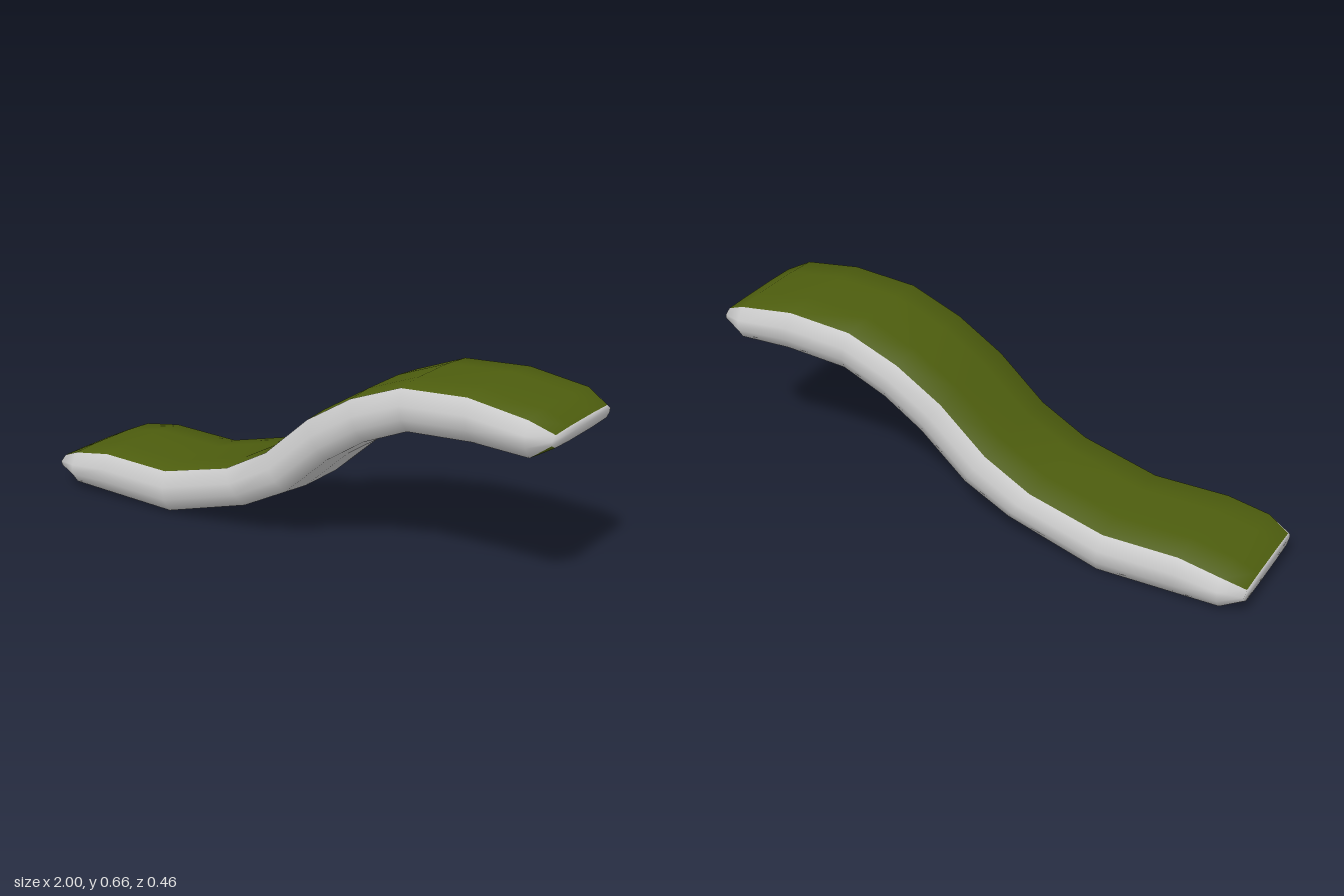
import * as THREE from 'three';

// Stations along the length: [x, y] of the crown line above and the belly line below
const TOP = [[-1, 0.11], [-0.92, 0.148], [-0.77, 0.174], [-0.5, 0.166], [-0.23, 0.233], [-0.06, 0.325],
  [0.11, 0.475], [0.28, 0.578], [0.47, 0.65], [0.71, 0.663], [0.92, 0.63], [1, 0.587]];
const BOTTOM = [[-1, 0.06], [-0.92, 0.02], [-0.76, 0.012], [-0.48, 0.002], [-0.14, 0.1], [0.03, 0.185],
  [0.2, 0.335], [0.34, 0.425], [0.5, 0.492], [0.73, 0.504], [0.93, 0.495], [1, 0.54]];

// Cross-section: [z, depth from top (0) to bottom (1)], clockwise seen from +x
const SECTION = [[0.202, 0.05], [0.09, 0], [-0.09, 0], [-0.202, 0.05], [-0.228, 0.37], [-0.228, 0.65],
  [-0.202, 0.93], [-0.09, 1], [0.09, 1], [0.202, 0.93], [0.228, 0.65], [0.228, 0.37]];

export function createModel() {
  const group = new THREE.Group();
  const green = new THREE.MeshStandardMaterial({ color: 0x4d5d0e });
  green.name = 'olive green';
  const grey = new THREE.MeshStandardMaterial({ color: 0xcacaca });
  grey.name = 'light grey';

  const n = SECTION.length, last = TOP.length - 1;
  const positions = [];
  TOP.forEach(([tx, ty], i) => {
    const [bx, by] = BOTTOM[i];
    const narrow = i === 0 || i === last ? 0.87 : 1;
    for (const [z, t] of SECTION) {
      positions.push(tx + (bx - tx) * t, ty + (by - ty) * t, z * narrow);
    }
  });

  // Skin: the upper strips are green, the sides and underside grey
  const greenFaces = [], greyFaces = [];
  for (let i = 0; i < last; i++) {
    for (let j = 0; j < n; j++) {
      const k = (j + 1) % n;
      const a = i * n + j, b = a + n, c = (i + 1) * n + k, d = i * n + k;
      const corner = i === last - 1 && j === 9; // small green patch under one end corner
      (j < 3 || corner ? greenFaces : greyFaces).push(a, b, c);
      (j < 3 ? greenFaces : greyFaces).push(a, c, d);
    }
  }

  // Blunt end caps
  for (const end of [0, last]) {
    const centre = positions.length / 3;
    positions.push(TOP[end][0], (TOP[end][1] + BOTTOM[end][1]) / 2, 0);
    for (let j = 0; j < n; j++) {
      const a = end * n + j, b = end * n + (j + 1) % n;
      greyFaces.push(centre, ...(end ? [b, a] : [a, b]));
    }
  }

  const geometry = new THREE.BufferGeometry();
  geometry.setAttribute('position', new THREE.Float32BufferAttribute(positions, 3));
  geometry.setIndex([...greenFaces, ...greyFaces]);
  geometry.addGroup(0, greenFaces.length, 0);
  geometry.addGroup(greenFaces.length, greyFaces.length, 1);
  geometry.computeVertexNormals();

  const slab = new THREE.Mesh(geometry, [green, grey]);
  slab.name = 'wavySlab';
  group.add(slab);
  return group;
}
